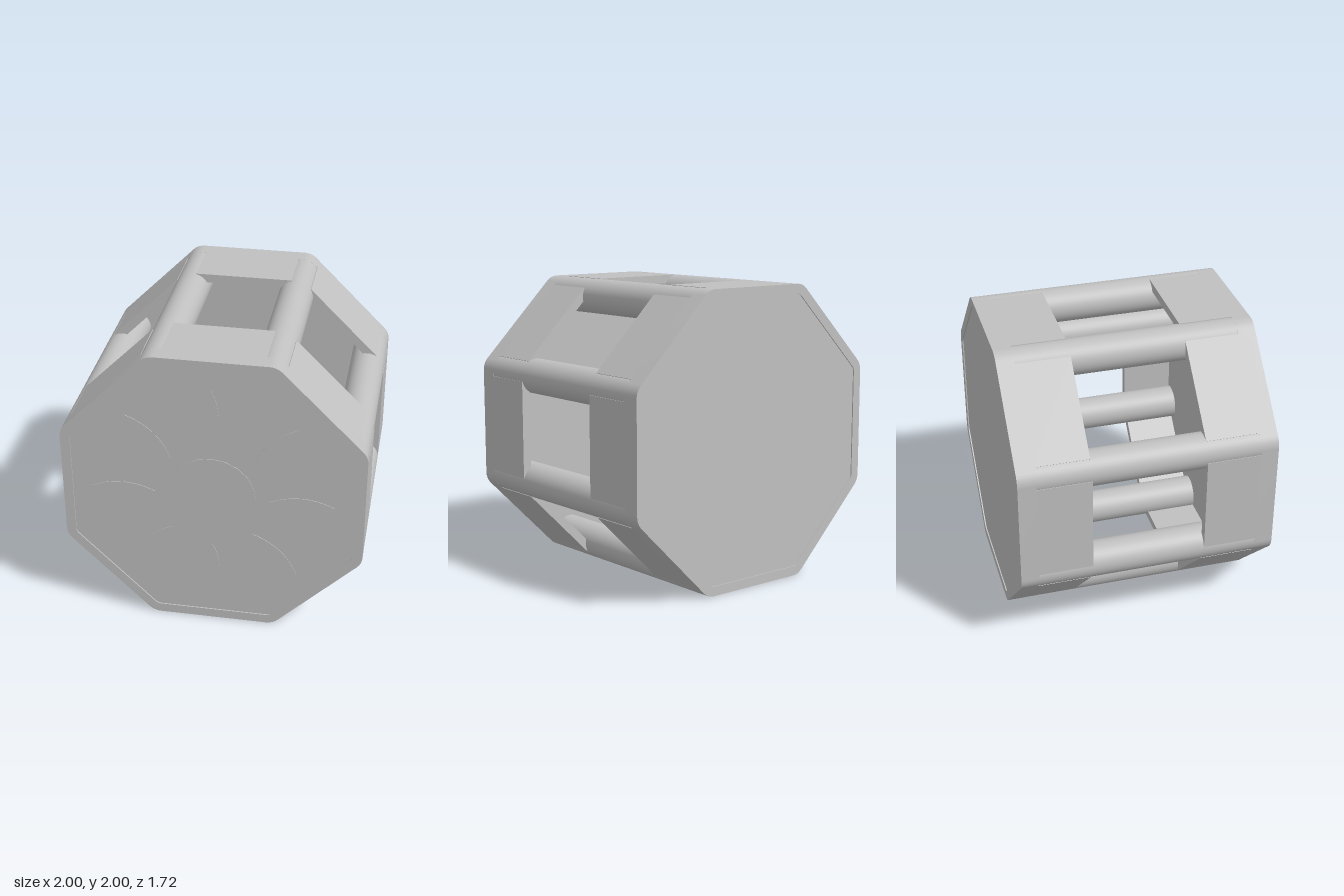
import * as THREE from 'three';
import { toCreasedNormals } from 'three/addons/utils/BufferGeometryUtils.js';

const POST_R = 0.12;     // radius of the corner posts
const POST_APO = 0.88;   // apothem of the octagon through the post centres
const POST_DIST = POST_APO / Math.cos(Math.PI / 8);
const END_Z = 0.86, CAP_Z = 0.74, OPEN_Z = 0.38;

// Octagon with corners rounded around the post centres
function roundedOctagon(r, target = new THREE.Shape()) {
  for (let i = 0; i < 8; i++) {
    const a = (i + 0.5) * Math.PI / 4;
    target.absarc(Math.cos(a) * POST_DIST, Math.sin(a) * POST_DIST, r,
      a - Math.PI / 8, a + Math.PI / 8, false);
  }
  return target;
}

function extrude(shape, z0, z1) {
  const g = new THREE.ExtrudeGeometry(shape, { depth: z1 - z0, bevelEnabled: false, curveSegments: 10 });
  g.translate(0, 0, z0);
  return toCreasedNormals(g, 0.4);
}

export function createModel() {
  const model = new THREE.Group();
  const grey = new THREE.MeshStandardMaterial({ color: 0xc0c0c0 });
  grey.name = 'grey';
  const add = (name, geometry, parent = model) => {
    const mesh = new THREE.Mesh(geometry, grey);
    mesh.name = name;
    parent.add(mesh);
    return mesh;
  };

  // End caps: a rim around a slightly recessed plate
  const rim = roundedOctagon(POST_R);
  rim.holes.push(roundedOctagon(0.055, new THREE.Path()));
  const rimGeo = extrude(rim, CAP_Z, END_Z);
  const plateGeo = extrude(roundedOctagon(0.055), CAP_Z, END_Z - 0.008);
  for (const [side, turn] of [['front', 0], ['back', Math.PI]]) {
    const cap = new THREE.Group();
    cap.name = side + 'Cap';
    cap.rotation.y = turn;
    add(side + 'Rim', rimGeo, cap);
    add(side + 'Plate', plateGeo, cap);
    model.add(cap);
  }

  // Corner posts joining both caps
  const postGeo = new THREE.CylinderGeometry(POST_R, POST_R, CAP_Z * 2, 40, 1, true).rotateX(Math.PI / 2);
  for (let i = 0; i < 8; i++) {
    const a = (i + 0.5) * Math.PI / 4;
    add('cornerPost', postGeo).position.set(Math.cos(a) * POST_DIST, Math.sin(a) * POST_DIST, 0);
  }

  // Side panels behind each cap, leaving open windows in the middle
  const panelGeo = new THREE.BoxGeometry(0.06, 0.67, CAP_Z - OPEN_Z);
  for (let i = 0; i < 8; i++) {
    const a = i * Math.PI / 4;
    for (const s of [1, -1]) {
      const panel = add('sidePanel', panelGeo);
      panel.position.set(Math.cos(a) * 0.97, Math.sin(a) * 0.97, s * (CAP_Z + OPEN_Z) / 2);
      panel.rotation.z = a;
    }
  }

  // Shallow rosette on the front plate: centre disc and eight petals
  const z0 = END_Z - 0.008, z1 = END_Z - 0.004;
  const disc = new THREE.Shape().absarc(0, 0, 0.29, 0, Math.PI * 2, false);
  add('rosetteDisc', extrude(disc, z0, z1));
  const petal = new THREE.Shape();
  petal.moveTo(0.38, 0);
  petal.quadraticCurveTo(0.59, -0.1, 0.8, 0);
  petal.quadraticCurveTo(0.59, 0.1, 0.38, 0);
  const petalGeo = extrude(petal, z0, z1);
  for (let i = 0; i < 8; i++) add('rosettePetal', petalGeo).rotation.z = i * Math.PI / 4;

  model.children.forEach((part) => { part.position.y += 1; });
  return model;
}
